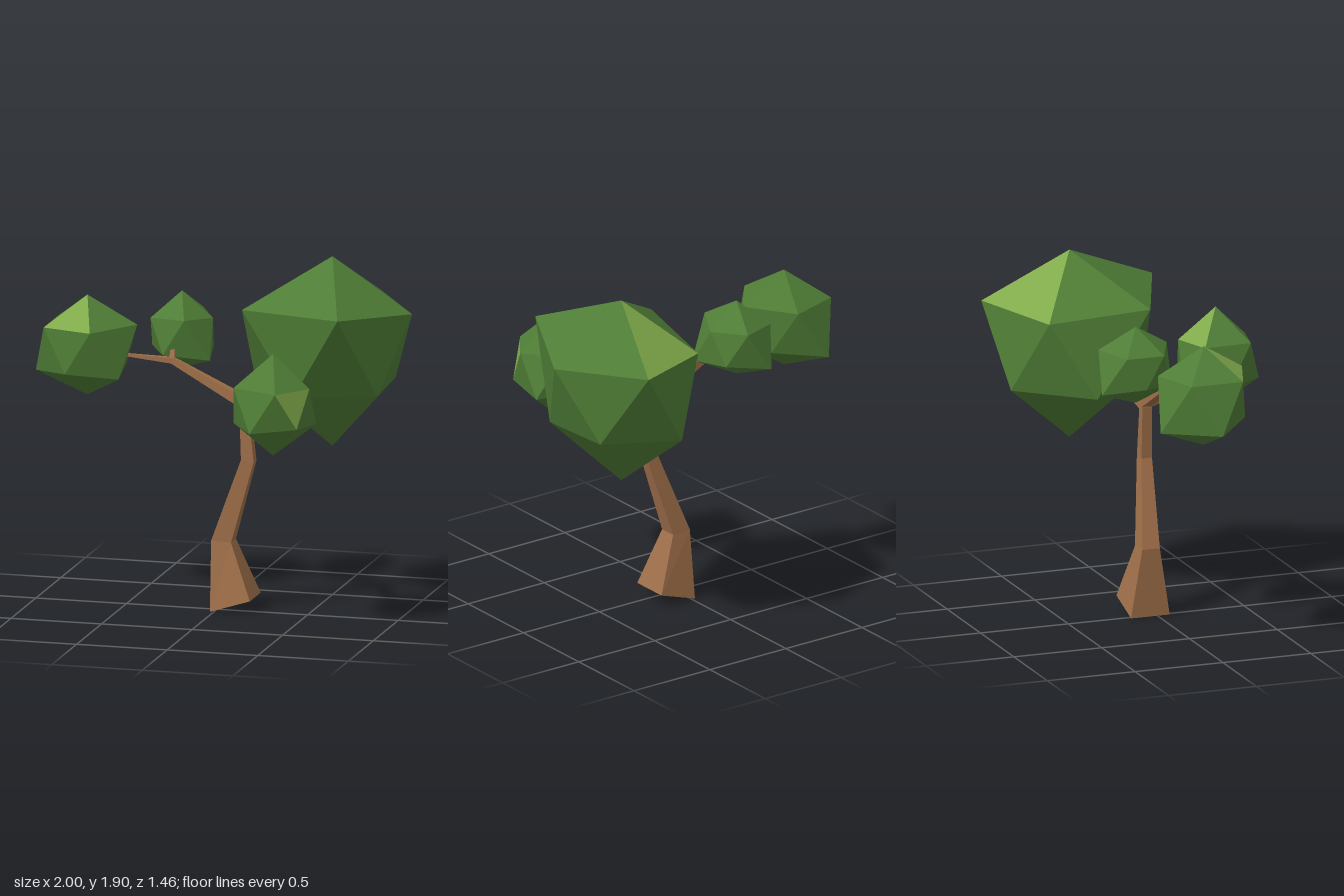
import * as THREE from 'three';

const bark = new THREE.MeshStandardMaterial({ color: 0xa0704a, flatShading: true });
const leaf = new THREE.MeshStandardMaterial({ color: 0x4f7d36, flatShading: true });
const lightLeaf = new THREE.MeshStandardMaterial({ color: 0x80aa4a, flatShading: true });

const V = (x, y, z) => new THREE.Vector3(x, y, z);

// Flat-faced mesh from a list of triangles of Vector3
function facetMesh(name, triangles, material) {
  const geometry = new THREE.BufferGeometry().setFromPoints(triangles.flat());
  geometry.computeVertexNormals();
  const mesh = new THREE.Mesh(geometry, material);
  mesh.name = name;
  return mesh;
}

// Skin through four-cornered rings, closed at both ends
function loft(name, rings) {
  const tris = [];
  for (let i = 0; i < rings.length - 1; i++) {
    const a = rings[i], b = rings[i + 1];
    for (let j = 0; j < 4; j++) {
      const k = (j + 1) % 4;
      tris.push([a[j], a[k], b[k]], [a[j], b[k], b[j]]);
    }
  }
  const s = rings[0], e = rings[rings.length - 1];
  tris.push([s[2], s[1], s[0]], [s[3], s[2], s[0]], [e[0], e[1], e[2]], [e[0], e[2], e[3]]);
  return facetMesh(name, tris, bark);
}

// Tapering square branch through points [x, y, z, half width]
function branch(name, path) {
  const pts = path.map(([x, y, z]) => V(x, y, z));
  const rings = pts.map((p, i) => {
    const dir = pts[Math.min(i + 1, pts.length - 1)].clone()
      .sub(pts[Math.max(i - 1, 0)]).normalize();
    const ref = Math.abs(dir.y) > 0.8 ? V(0, 0, 1) : V(0, 1, 0);
    const u = ref.cross(dir).normalize();
    const v = dir.clone().cross(u);
    return [[1, 1], [-1, 1], [-1, -1], [1, -1]].map(([s, t]) =>
      p.clone().addScaledVector(u, s * path[i][3]).addScaledVector(v, t * path[i][3]));
  });
  return loft(name, rings);
}

// Uneven icosahedron: every corner slides along its own ray from the centre.
// upper and lower hold the horizontal radii of the two five-cornered rings.
function crown(name, [cx, cy, cz], top, upper, lower, bottom, lightFaces) {
  const ring = (radii, offset, rise) => radii.map((r, k) => {
    const a = (k * 72 + offset) * Math.PI / 180;
    return V(cx + r * Math.cos(a), cy + r * rise, cz + r * Math.sin(a));
  });
  const u = ring(upper, 0, 0.5), l = ring(lower, 36, -0.5);
  const apex = V(cx, cy + top, cz), base = V(cx, cy - bottom, cz);
  const dark = [], light = [];
  for (let k = 0; k < 5; k++) {
    const n = (k + 1) % 5;
    const faces = [[apex, u[n], u[k]], [u[k], u[n], l[k]], [l[k], u[n], l[n]], [l[k], l[n], base]];
    faces.forEach((f, row) => (lightFaces.includes(row * 5 + k) ? light : dark).push(f));
  }
  const group = new THREE.Group();
  group.name = name;
  group.add(facetMesh(name + 'Leaves', dark, leaf));
  if (light.length) group.add(facetMesh(name + 'LightLeaves', light, lightLeaf));
  return group;
}

export function createModel() {
  const tree = new THREE.Group();
  tree.name = 'tree';

  // Crooked trunk: [x min, x max, z min, z max, y at x min, y at x max]
  const trunk = [
    [-0.02, 0.20, -0.15, 0.07, 0.0, 0.07],
    [-0.03, 0.08, -0.09, 0.01, 0.375, 0.37],
    [0.14, 0.21, -0.03, 0.03, 0.83, 0.82],
    [0.13, 0.18, -0.028, 0.025, 1.11, 1.09],
    [0.135, 0.175, -0.025, 0.02, 1.17, 1.16],
  ].map(([x0, x1, z0, z1, y0, y1]) => [V(x1, y1, z1), V(x1, y1, z0), V(x0, y0, z0), V(x0, y0, z1)]);
  tree.add(loft('trunk', trunk));

  // Branches
  tree.add(
    branch('rightBranch', [[0.17, 1.13, 0, 0.03], [-0.25, 1.34, -0.02, 0.016], [-0.55, 1.36, -0.01, 0.006]]),
    branch('twig', [[-0.25, 1.33, -0.02, 0.016], [-0.255, 1.39, -0.04, 0.012], [-0.25, 1.43, -0.12, 0.008]]),
    branch('frontBranch', [[0.16, 1.13, 0, 0.026], [0.275, 1.19, 0.34, 0.017], [0.4, 1.22, 0.46, 0.01]]),
    branch('leftBranch', [[0.15, 1.12, 0, 0.028], [0.25, 1.2, -0.06, 0.025], [0.42, 1.28, -0.2, 0.015]]),
  );

  // Leaf crowns
  tree.add(
    crown('largeCrown', [0.56, 1.39, -0.28], 0.51,
      [0.44, 0.565, 0.515, 0.41, 0.47], [0.38, 0.38, 0.42, 0.4, 0.36], 0.525, [3]),
    crown('rightCrown', [-0.715, 1.39, 0], 0.285,
      [0.275, 0.26, 0.25, 0.25, 0.245], [0.265, 0.22, 0.285, 0.295, 0.22], 0.26, [1]),
    crown('smallCrown', [-0.25, 1.455, -0.21], 0.225,
      [0.17, 0.21, 0.18, 0.18, 0.2], [0.236, 0.19, 0.165, 0.23, 0.18], 0.195, []),
    crown('frontCrown', [0.45, 1.255, 0.51], 0.28,
      [0.2, 0.2, 0.225, 0.21, 0.2], [0.2, 0.23, 0.22, 0.22, 0.245], 0.275, [3, 5]),
  );
  return tree;
}
